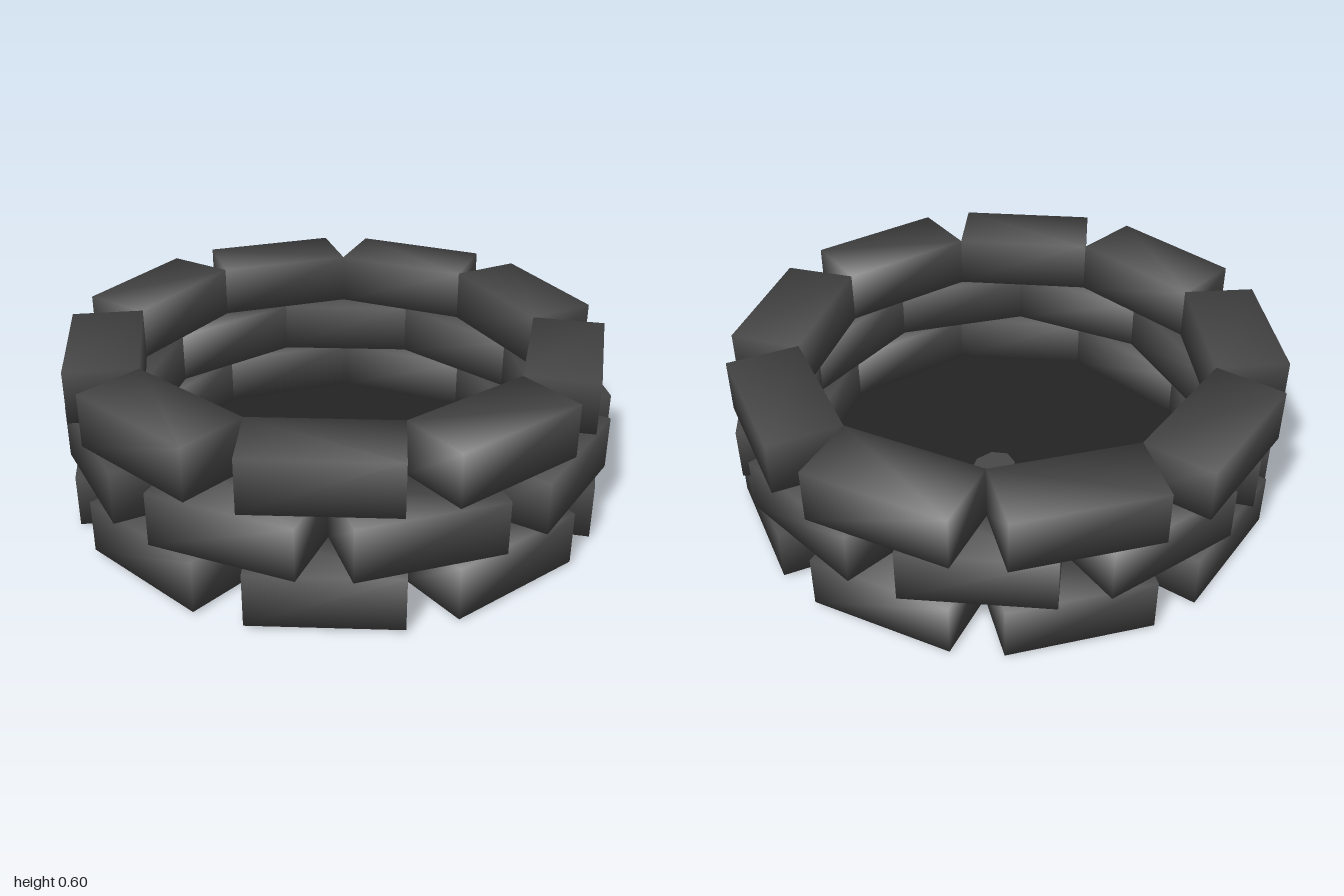
import * as THREE from 'three';
import { mergeVertices } from 'three/addons/utils/BufferGeometryUtils.js';

const COUNT = 9;
const STEP = (Math.PI * 2) / COUNT;
const INNER = 0.702, DEPTH = 0.26, HEIGHT = 0.193;
const WIDTH = 2 * INNER * Math.tan(STEP / 2);

// Box with shared corners, so the shading rolls softly over its edges
function softBox(w, h, d) {
  const box = new THREE.BoxGeometry(w, h, d);
  box.deleteAttribute('normal');
  box.deleteAttribute('uv');
  const merged = mergeVertices(box);
  merged.computeVertexNormals();
  return merged;
}

// Flat shape in the ground plane
function flat(points) {
  const shape = new THREE.Shape(points.map(([x, z]) => new THREE.Vector2(x, -z)));
  return new THREE.ShapeGeometry(shape).rotateX(-Math.PI / 2);
}

export function createModel() {
  const stone = new THREE.MeshStandardMaterial({ color: 0x484848 });
  stone.name = 'stone grey';
  const soot = new THREE.MeshStandardMaterial({ color: 0x232323, side: THREE.DoubleSide });
  soot.name = 'soot black';

  const model = new THREE.Group();
  model.name = 'stoneRing';

  // Three courses of blocks, the middle one turned by half a block
  const block = softBox(DEPTH, HEIGHT, WIDTH);
  const courses = [
    { name: 'bottomCourse', y: 0.012, x: -0.006, z: 0.007, turn: Math.PI },
    { name: 'middleCourse', y: 0.208, x: -0.004, z: 0.007, turn: 0 },
    { name: 'topCourse', y: 0.409, x: -0.028, z: -0.008, turn: Math.PI },
  ];
  for (const { name, y, x, z, turn } of courses) {
    const course = new THREE.Group();
    course.name = name;
    course.position.set(x, y + HEIGHT / 2, z);
    for (let i = 0; i < COUNT; i++) {
      const a = turn + i * STEP;
      const mesh = new THREE.Mesh(block, stone);
      mesh.name = 'block';
      mesh.position.set(Math.cos(a) * (INNER + DEPTH / 2), 0, -Math.sin(a) * (INNER + DEPTH / 2));
      mesh.rotation.y = a;
      course.add(mesh);
    }
    model.add(course);
  }

  // Dark floor filling the ring
  const base = new THREE.Group();
  base.name = 'base';
  base.position.set(-0.006, 0, 0.007);
  const corners = [];
  for (let i = 0; i < COUNT; i++) {
    const a = (i + 0.5) * STEP + Math.PI;
    const r = (INNER + 0.002) / Math.cos(STEP / 2);
    corners.push([Math.cos(a) * r, Math.sin(a) * r]);
  }
  const floor = new THREE.Mesh(flat(corners), soot);
  floor.name = 'floor';
  floor.position.y = 0.014;
  base.add(floor);

  // Dark flaps under the bottom blocks
  const flapShape = flat([[0.725, -0.235], [0.725, 0.235], [0.88, 0.13], [0.88, -0.13]]);
  for (let i = 0; i < COUNT; i++) {
    const flap = new THREE.Mesh(flapShape, soot);
    flap.name = 'underFlap';
    flap.position.y = 0.004;
    flap.rotation.y = Math.PI + i * STEP;
    base.add(flap);
  }
  model.add(base);

  // Small pebble set through the middle of the floor
  const pebble = new THREE.Mesh(new THREE.CylinderGeometry(0.09, 0.09, 0.022, 8), stone);
  pebble.name = 'pebble';
  pebble.scale.set(0.88, 1, 1.08);
  pebble.position.set(0, 0.012, -0.065);
  model.add(pebble);

  return model;
}
